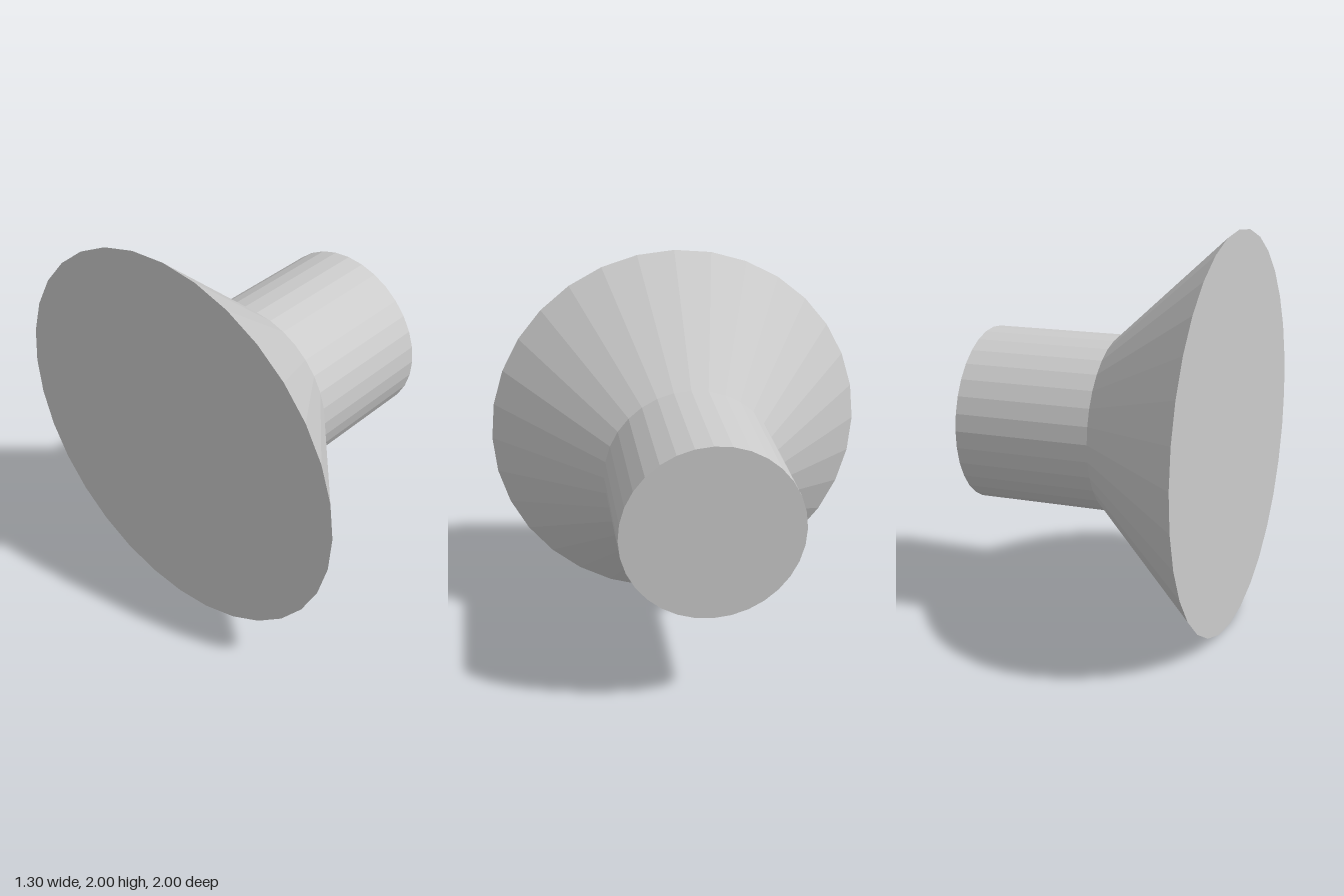
import * as THREE from 'three';

const SIDES = 32;
const AXIS_HEIGHT = 1;

// Round section lying along x, from x0 (radius r0) to x1 (radius r1)
function section(name, x0, r0, x1, r1, material) {
  const geometry = new THREE.CylinderGeometry(r1, r0, x1 - x0, SIDES);
  geometry.rotateZ(-Math.PI / 2);
  const mesh = new THREE.Mesh(geometry, material);
  mesh.name = name;
  mesh.position.set((x0 + x1) / 2, AXIS_HEIGHT, 0);
  return mesh;
}

export function createModel() {
  const material = new THREE.MeshStandardMaterial({ color: 0xcccccc, flatShading: true });
  const model = new THREE.Group();
  model.name = 'flaredKnob';

  // Wide cone narrowing to the straight stem
  model.add(section('flaredCone', -0.65, 1, -0.05, 0.447, material));
  model.add(section('stem', -0.05, 0.447, 0.65, 0.447, material));
  return model;
}
